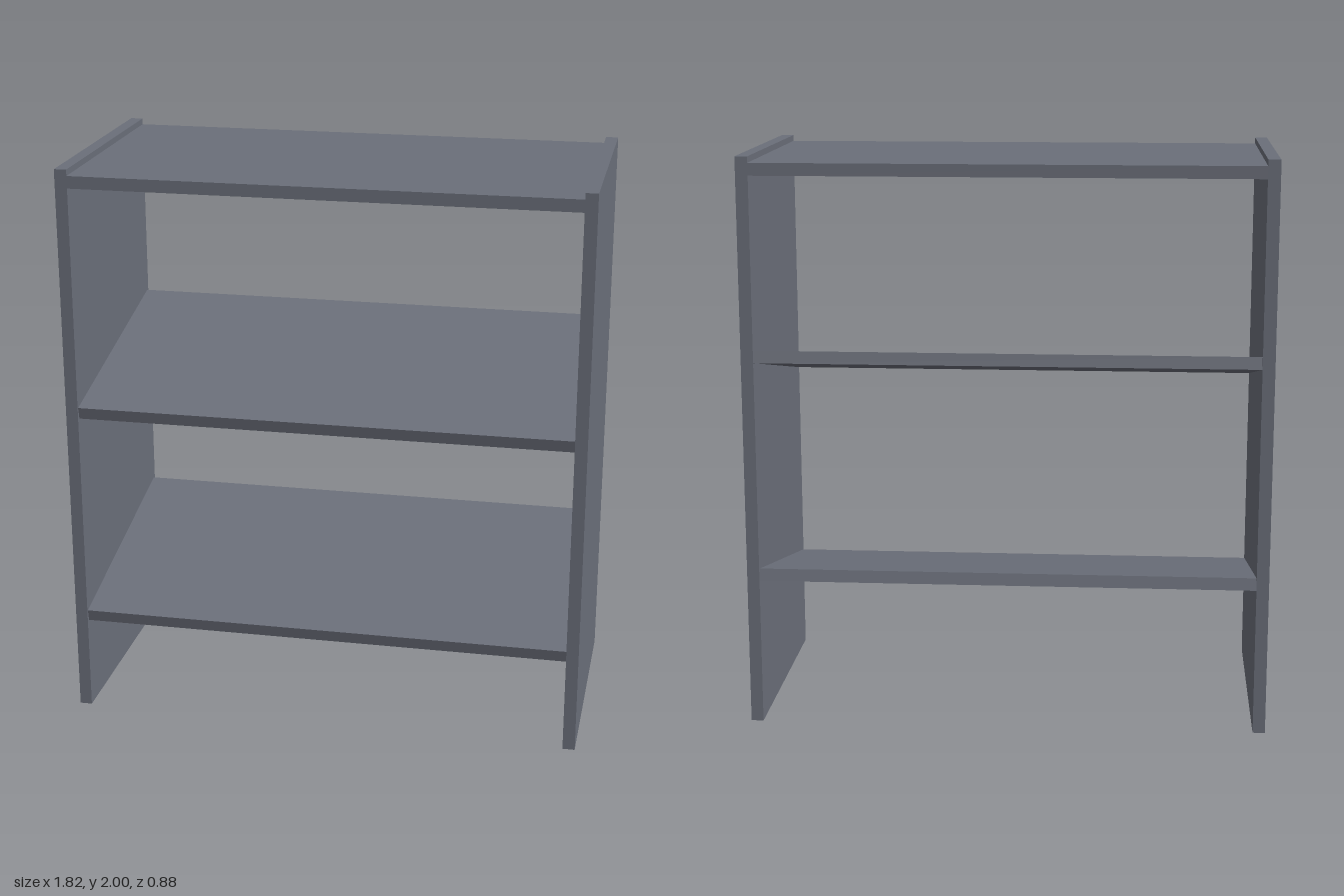
import * as THREE from 'three';

export function createModel() {
  const group = new THREE.Group();
  const greyPaint = new THREE.MeshStandardMaterial({ color: 0x6b6f7a });
  greyPaint.name = 'greyPaint';

  const halfWidth = 0.909, depth = 0.885, board = 0.043;
  const innerWidth = 2 * (halfWidth - board);

  function addBoard(name, w, h, x, y, tilt = 0) {
    const mesh = new THREE.Mesh(new THREE.BoxGeometry(w, h, depth), greyPaint);
    mesh.name = name;
    mesh.position.set(x, y, 0);
    mesh.rotation.x = tilt;
    group.add(mesh);
  }

  // Upright side panels
  for (const [name, side] of [['leftPanel', 1], ['rightPanel', -1]]) {
    addBoard(name, board, 2, side * (halfWidth - board / 2), 1);
  }

  // Flat top, set slightly below the panel ends
  addBoard('topBoard', innerWidth, board, 0, 1.957);

  // Sloping shelves, higher at the back
  const tilt = THREE.MathUtils.degToRad(12);
  addBoard('lowerShelf', innerWidth, board, 0, 0.447, tilt);
  addBoard('upperShelf', innerWidth, board, 0, 1.224, tilt);

  return group;
}
